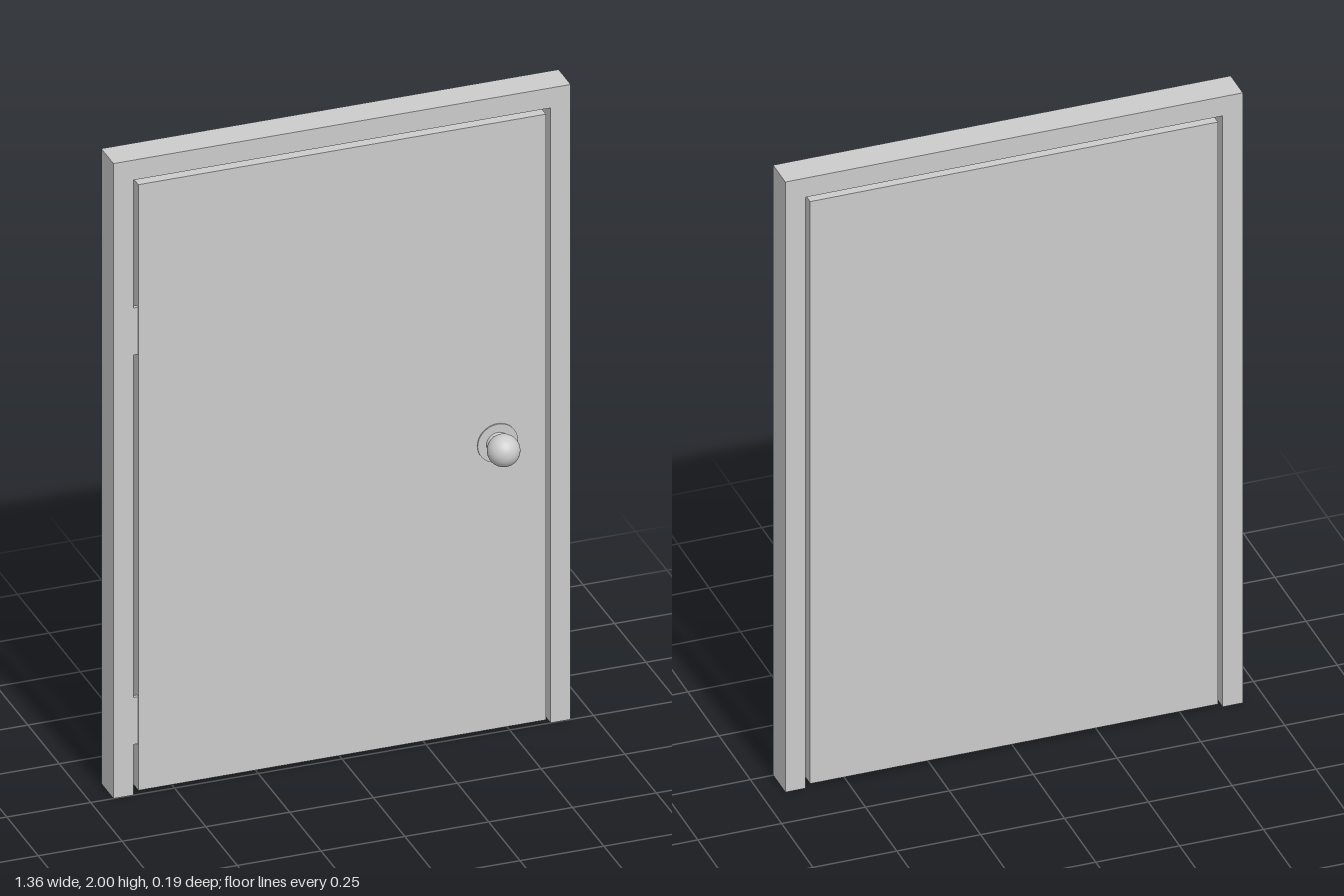
import * as THREE from 'three';

const material = new THREE.MeshStandardMaterial({ color: 0xcccccc });

export function createModel() {
  const model = new THREE.Group();
  const add = (name, geometry, x = 0, y = 0, z = 0) => {
    const mesh = new THREE.Mesh(geometry, material);
    mesh.name = name;
    mesh.position.set(x, y, z);
    model.add(mesh);
    return mesh;
  };
  const depth = 0.097;

  // Frame: one U-shaped outline open at the floor
  const outline = [
    [-0.682, 0], [-0.622, 0], [-0.622, 1.937], [0.622, 1.937],
    [0.622, 0], [0.682, 0], [0.682, 2], [-0.682, 2],
  ].map(([x, y]) => new THREE.Vector2(x, y));
  add('doorFrame', new THREE.ExtrudeGeometry(new THREE.Shape(outline), { depth, bevelEnabled: false }), 0, 0, -depth);

  // Door leaf, with a narrow gap all round
  add('doorPanel', new THREE.BoxGeometry(1.216, 1.908, depth), 0, 0.966, -depth / 2);

  // Hinges bridging the gap at the front
  for (const [name, y] of [['upperHinge', 1.46], ['lowerHinge', 0.233]]) {
    add(name, new THREE.BoxGeometry(0.022, 0.148, 0.012), -0.615, y, -0.0065);
  }

  // Knob: rosette disc, then a waisted neck running into a round grip
  const rosette = add('knobRosette', new THREE.CylinderGeometry(0.06, 0.06, 0.005, 40), 0.463, 0.912, 0.0015);
  rosette.rotation.x = Math.PI / 2;

  const radius = 0.047, centre = 0.05;
  const profile = [[0.036, 0], [0.033, 0.006], [0.031, 0.012]].map(([r, h]) => new THREE.Vector2(r, h));
  for (let i = 0; i <= 20; i++) {
    const a = THREE.MathUtils.lerp(0.76, Math.PI, i / 20);
    profile.push(new THREE.Vector2(Math.max(0, radius * Math.sin(a)), centre - radius * Math.cos(a)));
  }
  const knob = add('knob', new THREE.LatheGeometry(profile, 40), 0.463, 0.912, 0);
  knob.rotation.x = Math.PI / 2;

  return model;
}
